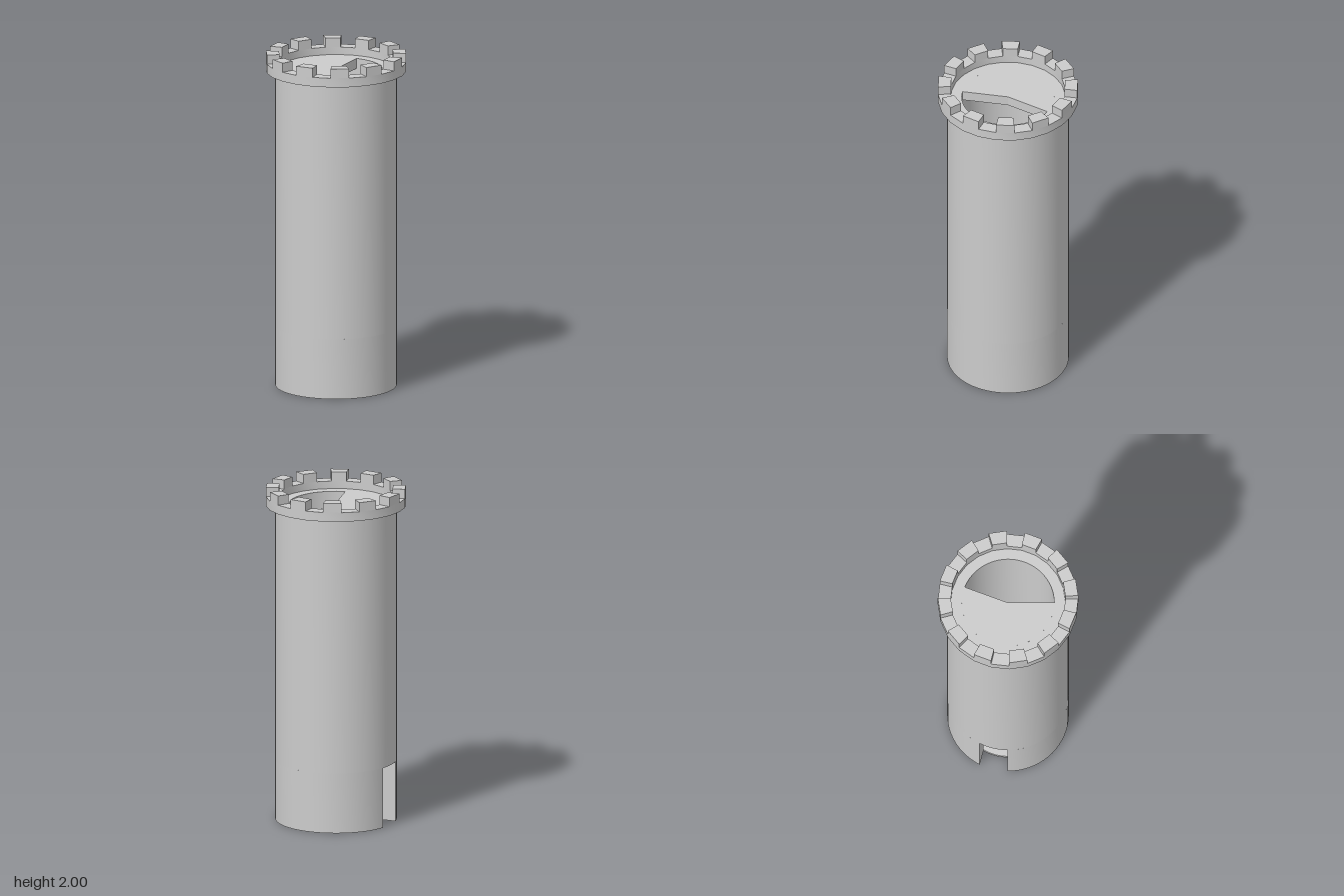
import * as THREE from 'three';
import { toCreasedNormals } from 'three/addons/utils/BufferGeometryUtils.js';

const WALL_R = 0.355, INNER_R = 0.27, CROWN_R = 0.41, CROWN_IN = 0.335;
const DECK_Y = 1.9, DOOR_H = 0.36, DOOR_HALF = 0.084;
const rad = THREE.MathUtils.degToRad;

const material = new THREE.MeshStandardMaterial({ color: 0xcccccc });

// Points on an arc, angles in radians counter-clockwise from +x seen from above
function arc(r, a0, a1, n) {
  return Array.from({ length: n + 1 }, (_, i) => {
    const a = a0 + (a1 - a0) * i / n;
    return new THREE.Vector2(r * Math.cos(a), r * Math.sin(a));
  });
}

// Raise a plan outline from y0 to y1
function raise(name, shape, y0, y1, crease = 0.2) {
  let geo = new THREE.ExtrudeGeometry(shape, { depth: y1 - y0, bevelEnabled: false });
  geo.rotateX(-Math.PI / 2);
  geo.translate(0, y0, 0);
  geo = toCreasedNormals(geo, crease);
  const mesh = new THREE.Mesh(geo, material);
  mesh.name = name;
  return mesh;
}

function ring(rOut, rIn, n) {
  const shape = new THREE.Shape(arc(rOut, 0, Math.PI * 2, n).slice(0, -1));
  shape.holes.push(new THREE.Path(arc(rIn, 0, Math.PI * 2, n).slice(0, -1).reverse()));
  return shape;
}

export function createModel() {
  const tower = new THREE.Group();
  tower.name = 'tower';

  // Lower wall, open at the doorway on the -x side
  const outerA = Math.PI - Math.asin(DOOR_HALF / WALL_R);
  const innerA = Math.PI - Math.asin(DOOR_HALF / INNER_R);
  const lower = new THREE.Shape([
    ...arc(WALL_R, -outerA, outerA, 64),
    ...arc(INNER_R, innerA, -innerA, 64),
  ]);
  tower.add(raise('lowerWall', lower, 0, DOOR_H));

  // Full round wall above the door
  tower.add(raise('upperWall', ring(WALL_R, INNER_R, 72), DOOR_H, DECK_Y));

  // Ground floor disc
  tower.add(raise('groundFloor', new THREE.Shape(arc(INNER_R, 0, Math.PI * 2, 64).slice(0, -1)), 0, 0.02));

  // Roof deck with a wedge-shaped opening toward +x
  const deck = new THREE.Shape([
    new THREE.Vector2(0, 0),
    ...arc(INNER_R, rad(83), rad(284), 40),
  ]);
  tower.add(raise('roofDeck', deck, DECK_Y - 0.06, DECK_Y));

  // Parapet ring with twelve merlons
  const crown = new THREE.Group();
  crown.name = 'battlements';
  crown.add(raise('parapet', ring(CROWN_R, CROWN_IN, 24), 1.89, 1.945, 0.3));
  for (let i = 0; i < 12; i++) {
    const a0 = rad(15 + 30 * i), a1 = a0 + rad(15);
    const block = new THREE.Shape([...arc(CROWN_R, a0, a1, 1), ...arc(CROWN_IN, a1, a0, 1)]);
    crown.add(raise('merlon', block, 1.945, 2));
  }
  tower.add(crown);

  return tower;
}
